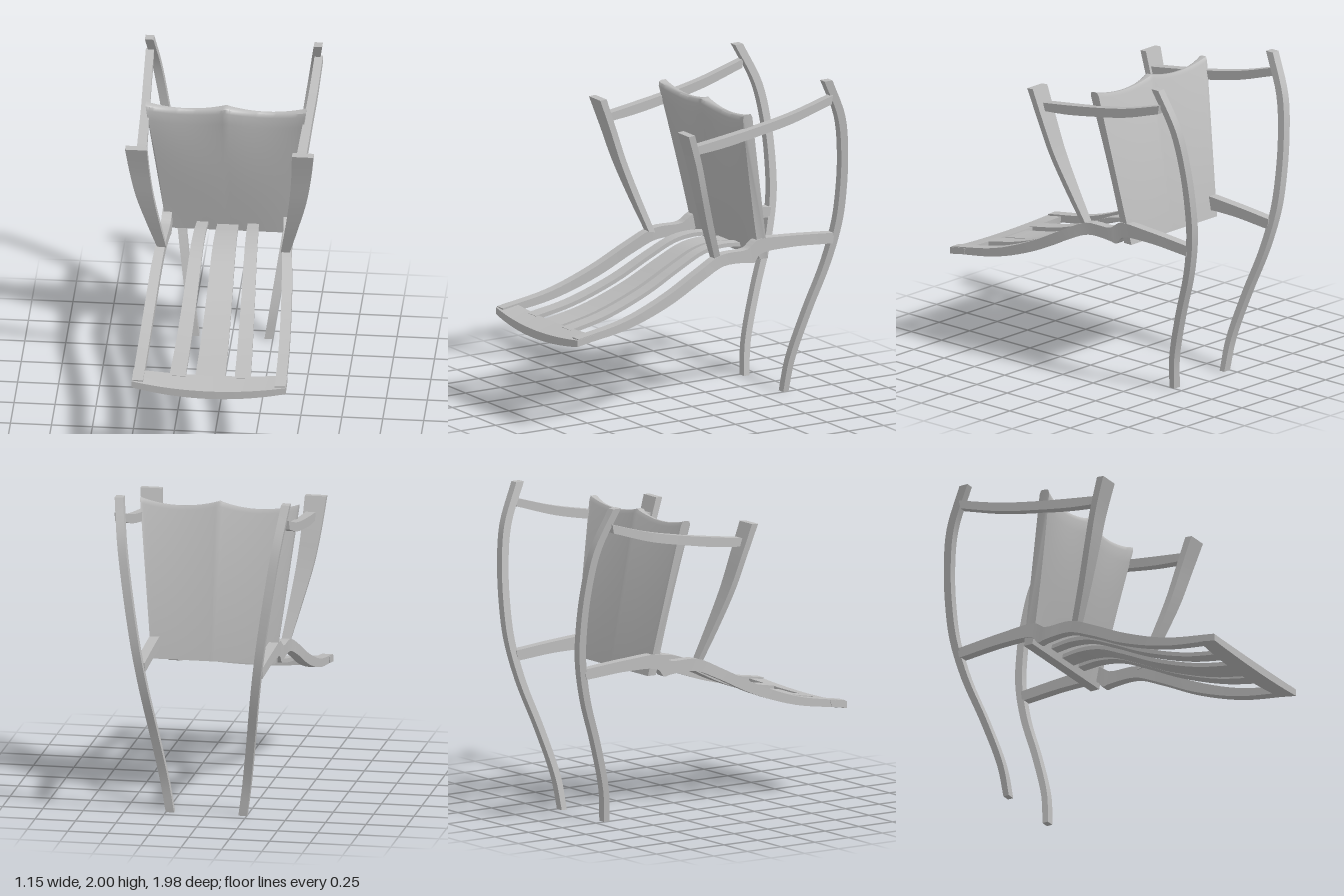
import * as THREE from 'three';
import { toCreasedNormals } from 'three/addons/utils/BufferGeometryUtils.js';

const wood = new THREE.MeshStandardMaterial({ color: 0xbcbcbc });
wood.name = 'grey';

// Skin a series of convex rings and cap both ends; winding is fixed by signed volume
function loft(name, rings, crease = 0.6) {
  const n = rings[0].length, tris = [];
  for (let i = 0; i + 1 < rings.length; i++) {
    for (let j = 0; j < n; j++) {
      const k = (j + 1) % n, a = rings[i], b = rings[i + 1];
      tris.push([a[j], a[k], b[k]], [a[j], b[k], b[j]]);
    }
  }
  const first = rings[0], last = rings[rings.length - 1];
  for (let j = 1; j + 1 < n; j++) {
    tris.push([first[0], first[j + 1], first[j]], [last[0], last[j], last[j + 1]]);
  }
  const c = first[0], v = new THREE.Vector3();
  let volume = 0;
  for (const [p, q, r] of tris) {
    volume += v.copy(q).sub(c).cross(r.clone().sub(c)).dot(p.clone().sub(c));
  }
  const pos = [];
  for (const [p, q, r] of tris) {
    for (const w of volume > 0 ? [p, q, r] : [p, r, q]) pos.push(w.x, w.y, w.z);
  }
  const g = new THREE.BufferGeometry();
  g.setAttribute('position', new THREE.Float32BufferAttribute(pos, 3));
  const mesh = new THREE.Mesh(toCreasedNormals(g, crease), wood);
  mesh.name = name;
  return mesh;
}

// Four-sided curved bar; each row is [xInner, xOuter, zA, yA, zB, yB]
function bar(name, rows, side = 1, steps = 5) {
  const corner = (x, z) => new THREE.CatmullRomCurve3(
    rows.map(r => new THREE.Vector3(side * r[x], r[z + 1], r[z])));
  const curves = [corner(0, 2), corner(1, 2), corner(1, 4), corner(0, 4)];
  const count = (rows.length - 1) * steps, rings = [];
  for (let i = 0; i <= count; i++) rings.push(curves.map(c => c.getPoint(i / count)));
  return loft(name, rings);
}

const lerp = THREE.MathUtils.lerp;

// Long rear legs: [y, zFront, zBack], leaning outward as they rise
const legRows = [
  [0, -0.652, -0.69], [0.2, -0.675, -0.717], [0.5, -0.765, -0.81], [0.8, -0.873, -0.92],
  [1.05, -0.93, -0.979], [1.25, -0.943, -0.992], [1.5, -0.933, -0.982], [1.75, -0.887, -0.94],
  [2, -0.768, -0.825],
].map(([y, f, b]) => {
  const x = 0.225 + 0.145 * y;
  return [x - 0.026, x + 0.026, f, y, b, y];
});

// Armrests
const armRows = [
  [0.455, 0.515, 0.16, 1.705, 0.145, 1.655], [0.462, 0.52, -0.05, 1.735, -0.05, 1.675],
  [0.472, 0.525, -0.3, 1.775, -0.29, 1.715], [0.482, 0.533, -0.55, 1.825, -0.54, 1.765],
  [0.49, 0.54, -0.83, 1.905, -0.82, 1.85],
];

// Arm posts widening upward
const postRows = [
  [0.35, 0.405, -0.065, 0.955, -0.11, 0.945], [0.385, 0.465, 0.022, 1.18, -0.022, 1.18],
  [0.415, 0.52, 0.098, 1.4, 0.055, 1.4], [0.433, 0.553, 0.158, 1.6, 0.115, 1.6],
  [0.443, 0.575, 0.225, 1.797, 0.18, 1.8],
];

// Seat rails, stepping up behind the backrest to reach the rear legs
const railRows = [
  [0.402, 0.468, 0.95, 0.603, 0.94, 0.56], [0.395, 0.46, 0.6, 0.666, 0.585, 0.615],
  [0.383, 0.446, 0.3, 0.776, 0.28, 0.715], [0.368, 0.43, 0.06, 0.896, 0.03, 0.836],
  [0.355, 0.412, -0.11, 0.972, -0.13, 0.9], [0.345, 0.405, -0.3, 0.98, -0.31, 0.895],
  [0.342, 0.402, -0.34, 1.005, -0.35, 0.888], [0.34, 0.4, -0.38, 1.028, -0.395, 0.935],
  [0.338, 0.398, -0.6, 1.022, -0.6, 0.95], [0.335, 0.393, -0.93, 0.995, -0.92, 0.93],
];

// Slat centre line: [z, y of top]
const slatPath = [[0.87, 0.6], [0.6, 0.655], [0.3, 0.762], [0.06, 0.88], [-0.11, 0.955],
  [-0.25, 0.975], [-0.38, 0.965]];
function slat(name, front, back, drop, side = 1) {
  return bar(name, slatPath.map(([z, y]) => {
    const t = (0.87 - z) / 1.25;
    return [lerp(front[0], back[0], t), lerp(front[1], back[1], t),
      z, y - drop, z - 0.005, y - drop - 0.025];
  }), side);
}

// Bowed front rail, lofted from side to side
function frontRail() {
  const rings = [];
  for (let i = 0; i <= 20; i++) {
    const u = i / 10 - 1, k = 1 - u * u, x = 0.47 * u;
    rings.push([
      new THREE.Vector3(x, 0.597 - 0.03 * k, 0.957 + 0.03 * k),
      new THREE.Vector3(x, 0.555 - 0.04 * k, 0.957 + 0.03 * k),
      new THREE.Vector3(x, 0.575 - 0.035 * k, 0.845),
      new THREE.Vector3(x, 0.615 - 0.015 * k, 0.835 + 0.015 * k),
    ]);
  }
  return loft('frontRail', rings);
}

// Reclined padded back with a two-lobed top edge and a flat rear face
function backrest() {
  const rings = [];
  for (let i = 0; i <= 48; i++) {
    const u = i / 24 - 1, dip = Math.abs(Math.sin(Math.PI * u)) ** 0.8;
    const topY = 1.855 - 0.036 * dip;
    const at = (h, z) => {
      const y = lerp(0.9, topY, h);
      return new THREE.Vector3(u * (0.385 + 0.105 * h ** 1.4), y, z);
    };
    const ring = [at(0, -0.46)];
    for (let j = 0; j <= 12; j++) {
      const h = j / 12 * 0.965;
      const pad = 0.012 * Math.sin(Math.PI * h) * Math.cos(Math.PI * u / 2);
      ring.push(at(h, -0.4 + 0.188 * h + pad - 0.035 * dip * h ** 4));
    }
    ring.push(at(0.992, -0.222 - 0.03 * dip), at(1, -0.24 - 0.02 * dip),
      at(1, -0.272), at(0.975, -0.285));
    rings.push(ring);
  }
  return loft('backrest', rings, 0.9);
}

export function createModel() {
  const chair = new THREE.Group();
  chair.name = 'chair';
  for (const [side, label] of [[1, 'left'], [-1, 'right']]) {
    chair.add(
      bar(label + 'RearLeg', legRows, side),
      bar(label + 'Armrest', armRows, side),
      bar(label + 'ArmPost', postRows, side),
      bar(label + 'SeatRail', railRows, side),
      slat(label + 'Slat', [0.15, 0.248], [0.12, 0.19], 0, side),
    );
  }
  chair.add(slat('centreSlat', [-0.092, 0.092], [-0.065, 0.065], 0.012), frontRail(), backrest());
  return chair;
}
